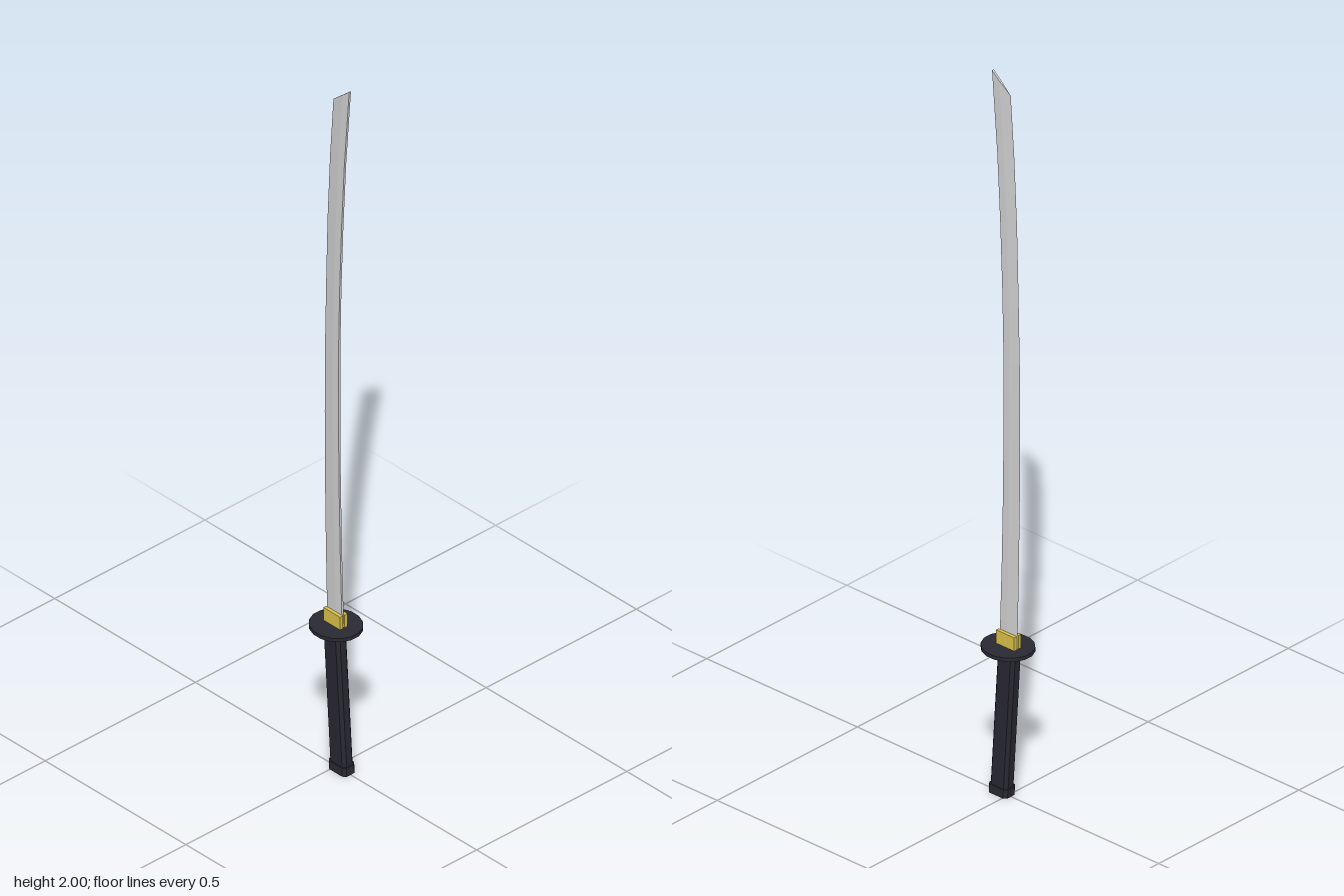
import * as THREE from 'three';

// Skin a stack of closed rings (counter-clockwise seen from above) and cap both ends.
function loft(rings) {
  const n = rings[0].length, index = [];
  rings.forEach((ring, r) => {
    if (r === rings.length - 1) return;
    for (let i = 0; i < n; i++) {
      const a = r * n + i, b = r * n + (i + 1) % n;
      index.push(a, b, b + n, a, b + n, a + n);
    }
  });
  const top = (rings.length - 1) * n;
  for (let i = 1; i < n - 1; i++) {
    index.push(0, i + 1, i, top, top + i, top + i + 1);
  }
  const geo = new THREE.BufferGeometry();
  geo.setAttribute('position', new THREE.Float32BufferAttribute(rings.flat(2), 3));
  geo.setIndex(index);
  const flat = geo.toNonIndexed();
  flat.computeVertexNormals();
  return flat;
}

// Chamfered rectangular ring for the grip parts.
function gripRing(y, cx, hx, hz) {
  const c = 0.008;
  return [
    [hx, hz - c], [hx, c - hz], [hx - c, -hz], [c - hx, -hz],
    [-hx, c - hz], [-hx, hz - c], [c - hx, hz], [hx - c, hz],
  ].map(([x, z]) => [cx + x, y, z]);
}

// The grip leans: its centre line moves in x with height.
const leanX = (y) => 0.021 - 0.064 * y;

function gripSection(y0, y1, hx, hz) {
  return loft([gripRing(y0, leanX(y0), hx, hz), gripRing(y1, leanX(y1), hx, hz)]);
}

export function createModel() {
  const steel = new THREE.MeshStandardMaterial({ color: 0xd4d4d4 });
  const brass = new THREE.MeshStandardMaterial({ color: 0xdcc24c });
  const wrap = new THREE.MeshStandardMaterial({ color: 0x282833 });
  const iron = new THREE.MeshStandardMaterial({ color: 0x2a2a33 });
  steel.name = 'steel';
  brass.name = 'brass';
  wrap.name = 'darkWrap';
  iron.name = 'darkIron';

  const group = new THREE.Group();
  const add = (name, geo, mat) => {
    const mesh = new THREE.Mesh(geo, mat);
    mesh.name = name;
    group.add(mesh);
    return mesh;
  };

  // Curved blade: [edge x, edge y, spine x, spine y], slanted at the tip
  const stations = [
    [-0.031, 0.415, 0.025, 0.415],
    [-0.036, 0.64, 0.018, 0.64],
    [-0.039, 0.83, 0.014, 0.83],
    [-0.04, 1.02, 0.012, 1.02],
    [-0.039, 1.21, 0.012, 1.21],
    [-0.035, 1.4, 0.016, 1.4],
    [-0.03, 1.59, 0.023, 1.59],
    [-0.021, 1.78, 0.033, 1.78],
    [-0.009, 1.95, 0.05, 2.0],
  ];
  // Cross-section: sharp edge, ridge, flat spine
  const section = [[0, 0], [0.6, 0.003], [1, 0.003], [1, -0.003], [0.6, -0.003]];
  const bladeRings = stations.map(([ex, ey, sx, sy]) =>
    section.map(([t, z]) => [ex + (sx - ex) * t, ey + (sy - ey) * t, z]));
  add('blade', loft(bladeRings), steel);

  // Brass collar, one cheek on each side of the blade
  for (const side of [1, -1]) {
    const cheek = add('bladeCollar', new THREE.BoxGeometry(0.06, 0.04, 0.0095), brass);
    cheek.position.set(-0.002, 0.435, side * 0.0075);
  }

  // Oval guard plate
  const guard = new THREE.CylinderGeometry(1, 1, 0.01, 16).toNonIndexed();
  guard.rotateY(Math.PI / 16);
  guard.scale(0.0693, 1, 0.0642);
  guard.computeVertexNormals();
  add('guard', guard, iron).position.y = 0.413;

  // Grip with a ferrule at the top and a pommel cap at the foot
  add('grip', gripSection(0.02, 0.39, 0.0285, 0.0175), wrap);
  add('ferrule', gripSection(0.385, 0.41, 0.03, 0.019), iron);
  add('pommel', gripSection(0, 0.024, 0.031, 0.0205), iron);

  return group;
}
